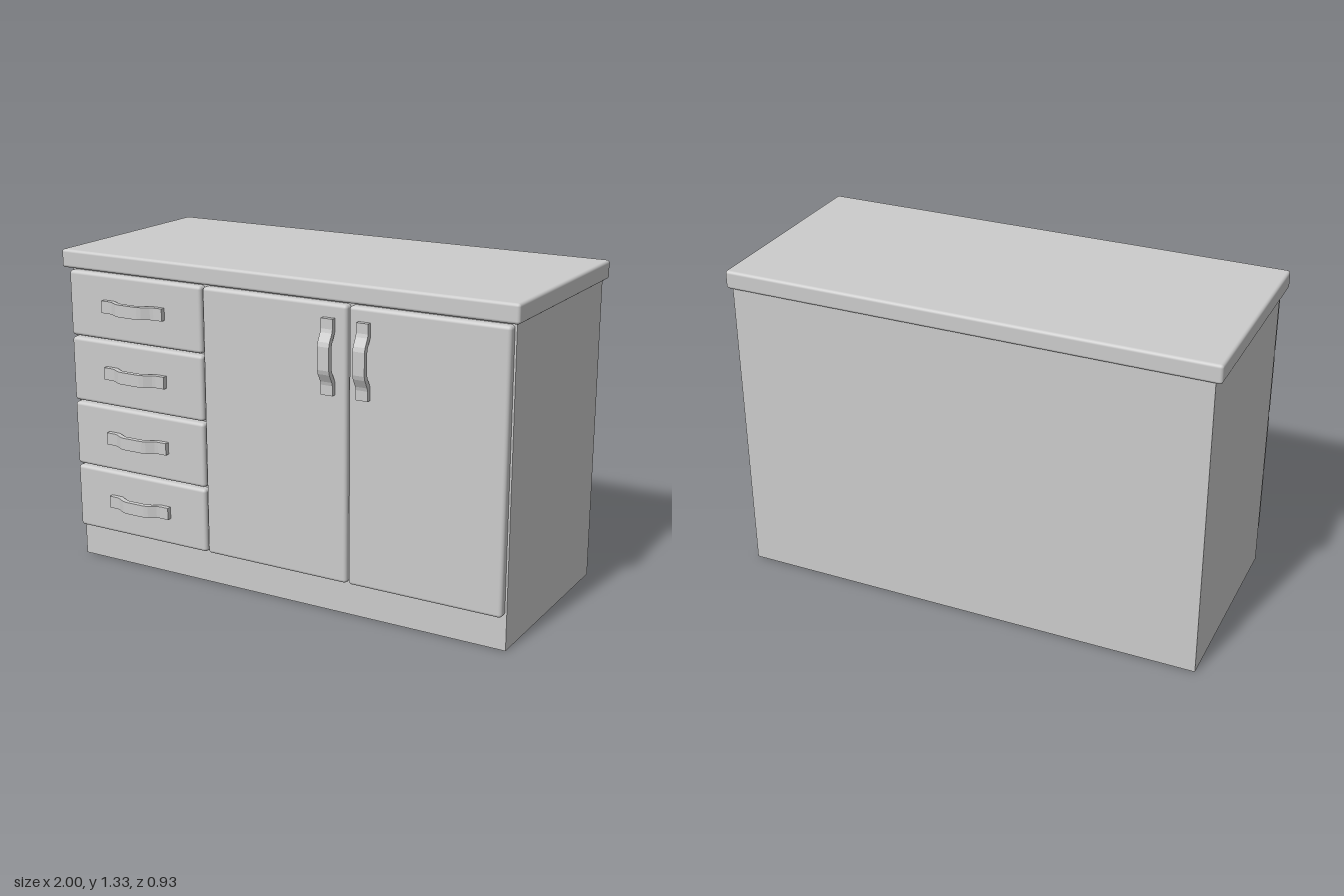
import * as THREE from 'three';
import { RoundedBoxGeometry } from 'three/addons/geometries/RoundedBoxGeometry.js';

const material = new THREE.MeshStandardMaterial({ color: 0xcccccc });

function add(parent, name, geometry, x = 0, y = 0, z = 0) {
  const mesh = new THREE.Mesh(geometry, material);
  mesh.name = name;
  mesh.position.set(x, y, z);
  parent.add(mesh);
  return mesh;
}

// Box given by its limits, with softened edges
function roundedBox(parent, name, [x0, x1], [y0, y1], [z0, z1], radius) {
  const geometry = new RoundedBoxGeometry(x1 - x0, y1 - y0, z1 - z0, 3, radius);
  return add(parent, name, geometry, (x0 + x1) / 2, (y0 + y1) / 2, (z0 + z1) / 2);
}

// Bowed strap: flat feet on the panel and a raised grip, extruded to its width
function handleGeometry() {
  const width = 0.05;
  const outer = [[0.147, 0.02], [0.108, 0.02], [0.094, 0.024], [0.062, 0.042], [0.045, 0.047]];
  const inner = [[0.045, 0.025], [0.056, 0.022], [0.09, 0.003], [0.105, -0.002], [0.147, -0.002]];
  const half = [...inner.slice().reverse(), ...outer.slice().reverse()];
  const mirror = (points) => points.map(([x, y]) => [-x, y]);
  const outline = [
    ...outer, ...mirror(outer).reverse(),
    ...mirror(inner).reverse(), ...inner,
  ];
  const shape = new THREE.Shape(outline.map(([x, y]) => new THREE.Vector2(x, y)));
  const geometry = new THREE.ExtrudeGeometry(shape, { depth: width, bevelEnabled: false });
  geometry.translate(0, 0, -width / 2);
  geometry.rotateX(Math.PI / 2); // the bow now points to the front
  return geometry;
}

export function createModel() {
  const cabinet = new THREE.Group();
  cabinet.name = 'kitchenCabinet';
  const front = 0.42;
  const panelDepth = [0.365, front]; // back edge is sunk into the carcass
  const handle = handleGeometry();

  // Carcass with plinth, and worktop
  add(cabinet, 'carcass', new THREE.BoxGeometry(1.95, 1.25, 0.84), 0, 0.625, -0.035);
  roundedBox(cabinet, 'worktop', [-1, 1], [1.25, 1.325], [-0.465, 0.427], 0.012);

  // Four drawers
  for (let i = 0; i < 4; i++) {
    const drawer = new THREE.Group();
    drawer.name = `drawer${i + 1}`;
    const bottom = 0.14 + i * 0.277;
    roundedBox(drawer, 'drawerFront', [-0.972, -0.33], [bottom, bottom + 0.269], panelDepth, 0.014);
    add(drawer, 'drawerHandle', handle, -0.65, bottom + 0.14, front);
    cabinet.add(drawer);
  }

  // Two doors with upright handles beside their meeting edge
  const doors = [
    { name: 'rightDoor', span: [-0.323, 0.317], handleX: 0.243 },
    { name: 'leftDoor', span: [0.325, 0.967], handleX: 0.392 },
  ];
  for (const { name, span, handleX } of doors) {
    const door = new THREE.Group();
    door.name = name;
    roundedBox(door, 'doorPanel', span, [0.14, 1.24], panelDepth, 0.014);
    add(door, 'doorHandle', handle, handleX, 1.04, front).rotation.z = Math.PI / 2;
    cabinet.add(door);
  }
  return cabinet;
}
